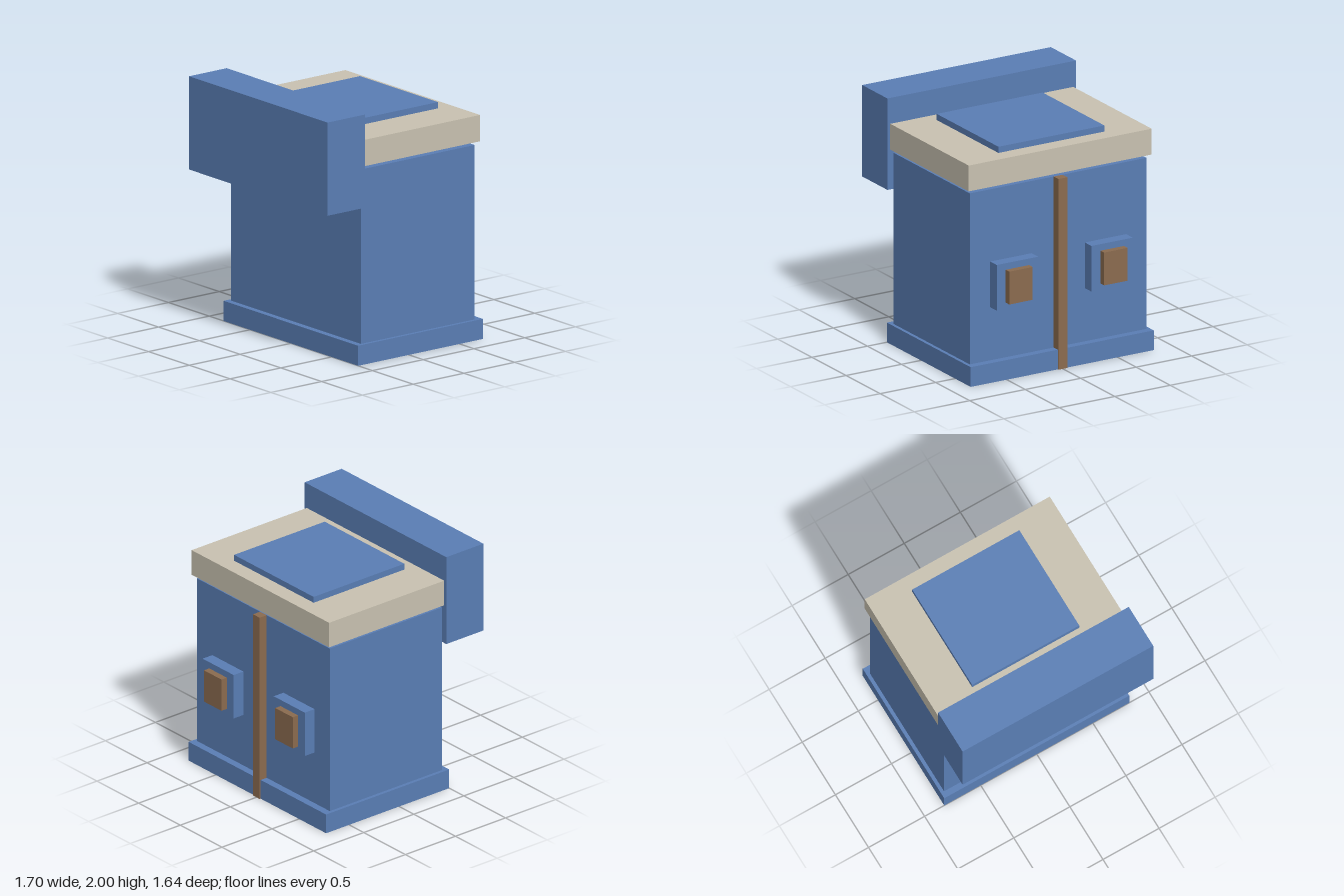
import * as THREE from 'three';

const paint = (name, color) => {
  const m = new THREE.MeshStandardMaterial({ color });
  m.name = name;
  return m;
};

export function createModel() {
  const group = new THREE.Group();
  const blue = paint('blue', 0x5a7eb5);
  const stone = paint('stone', 0xc9c2b1);
  const brown = paint('brown', 0x8b6b4f);

  // Box given by its extents along each axis
  const box = (name, material, [x0, x1], [y0, y1], [z0, z1]) => {
    const mesh = new THREE.Mesh(new THREE.BoxGeometry(x1 - x0, y1 - y0, z1 - z0), material);
    mesh.position.set((x0 + x1) / 2, (y0 + y1) / 2, (z0 + z1) / 2);
    mesh.name = name;
    group.add(mesh);
  };

  // Main block on its plinth
  box('plinth', blue, [-0.825, 0.825], [0, 0.16], [-0.73, 0.5]);
  box('body', blue, [-0.797, 0.797], [0.16, 1.55], [-0.67, 0.45]);

  // Roof slab resting on a core that rises through it as a raised panel
  box('roofSlab', stone, [-0.825, 0.825], [1.58, 1.79], [-0.7, 0.45]);
  box('roofCore', blue, [-0.48, 0.475], [1.55, 1.84], [-0.567, 0.338]);

  // Overhanging box at the front
  box('frontHeader', blue, [-0.85, 0.85], [1.257, 2], [0.45, 0.82]);

  // Centre strip and the two mounted blocks on the back
  box('backStrip', brown, [-0.04, 0.04], [0, 1.55], [-0.74, -0.67]);
  for (const [side, s] of [['left', 1], ['right', -1]]) {
    const span = (a, b) => (s > 0 ? [a, b] : [-b, -a]);
    box(side + 'Mount', blue, span(0.24, 0.613), [0.592, 0.963], [-0.767, -0.67]);
    box(side + 'Knob', brown, span(0.322, 0.533), [0.643, 0.91], [-0.82, -0.767]);
  }
  return group;
}
